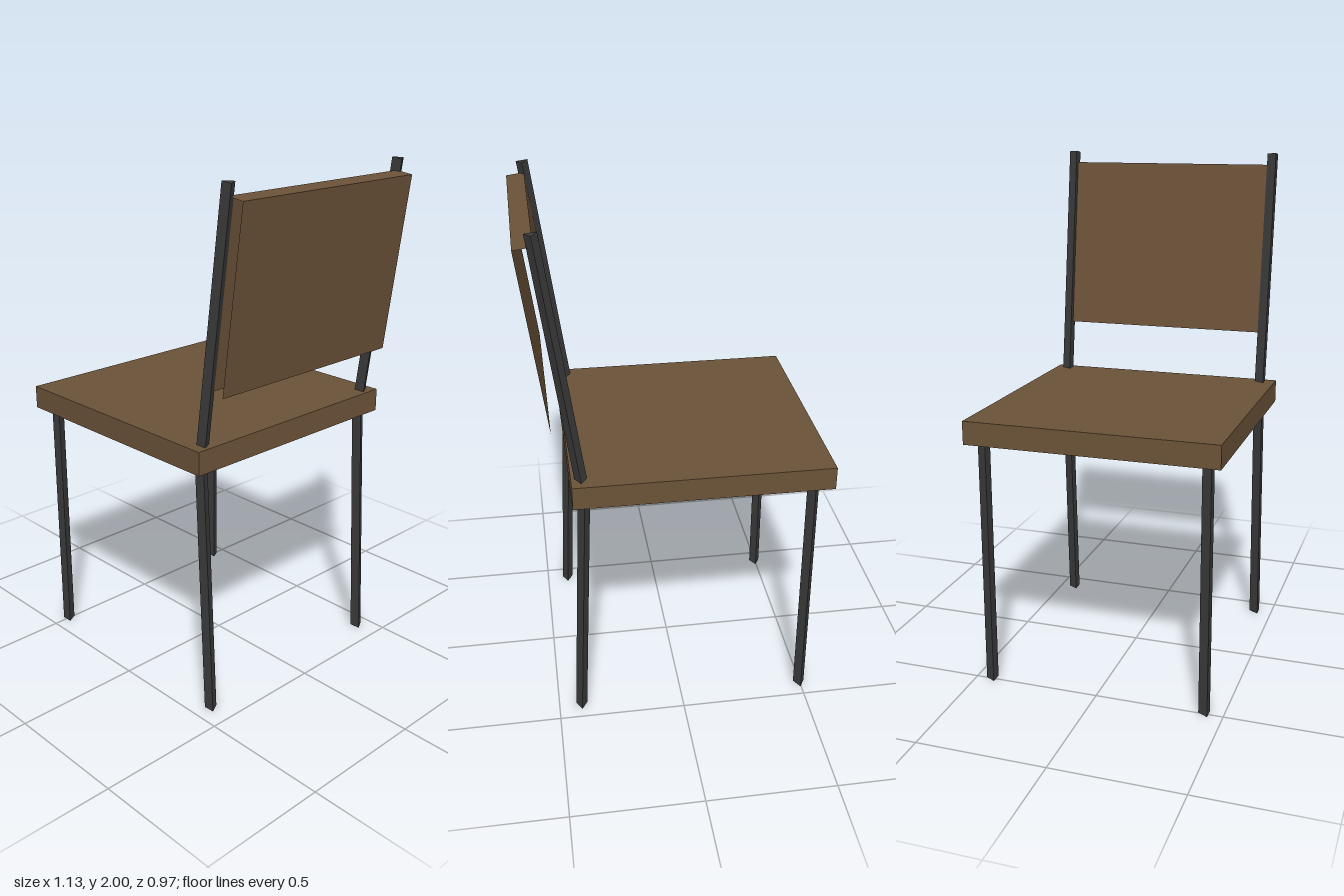
import * as THREE from 'three';

export function createModel() {
  const model = new THREE.Group();
  model.name = 'chair';

  const wood = new THREE.MeshStandardMaterial({ color: 0x6b5238, flatShading: true, side: THREE.DoubleSide });
  wood.name = 'brown wood';
  const metal = new THREE.MeshStandardMaterial({ color: 0x3c3c3c, flatShading: true });
  metal.name = 'dark metal';

  const add = (name, geometry, material) => {
    const mesh = new THREE.Mesh(geometry, material);
    mesh.name = name;
    model.add(mesh);
    return mesh;
  };

  // Three-sided bar running between two heights, leaning in x
  const bar = (name, x0, y0, x1, y1, z) => {
    const dx = x1 - x0, dy = y1 - y0;
    const geometry = new THREE.CylinderGeometry(0.026, 0.026, Math.hypot(dx, dy), 3, 1, false, Math.PI);
    const mesh = add(name, geometry, metal);
    mesh.position.set((x0 + x1) / 2, (y0 + y1) / 2, z);
    mesh.rotation.z = -Math.atan2(dx, dy);
  };

  // Seat slab
  const seat = add('seat', new THREE.BoxGeometry(0.975, 0.09, 0.974), wood);
  seat.position.set(-0.077, 1.025, 0);

  // Legs and backrest posts on both sides
  for (const [side, z] of [['A', 0.43], ['B', -0.434]]) {
    bar('frontLeg' + side, -0.497, 0, -0.497, 1.0, z);
    bar('rearLeg' + side, 0.41, 0.001, 0.364, 1.0, z);
    bar('backPost' + side, 0.367, 1.02, 0.499, 1.997, z);
  }

  // Backrest: a sheet folded over the top, open at the ends and below
  const profile = [[0.402, 1.272], [0.493, 1.952], [0.562, 1.943], [0.471, 1.267]];
  const positions = [], index = [];
  const z0 = -0.432, z1 = 0.432;
  for (let i = 0; i < 3; i++) {
    const p = profile[i], q = profile[i + 1], n = i * 4;
    positions.push(...p, z0, ...p, z1, ...q, z1, ...q, z0);
    index.push(n, n + 1, n + 2, n, n + 2, n + 3);
  }
  const sheet = new THREE.BufferGeometry();
  sheet.setAttribute('position', new THREE.Float32BufferAttribute(positions, 3));
  sheet.setIndex(index);
  sheet.computeVertexNormals();
  add('backrest', sheet, wood);

  return model;
}
